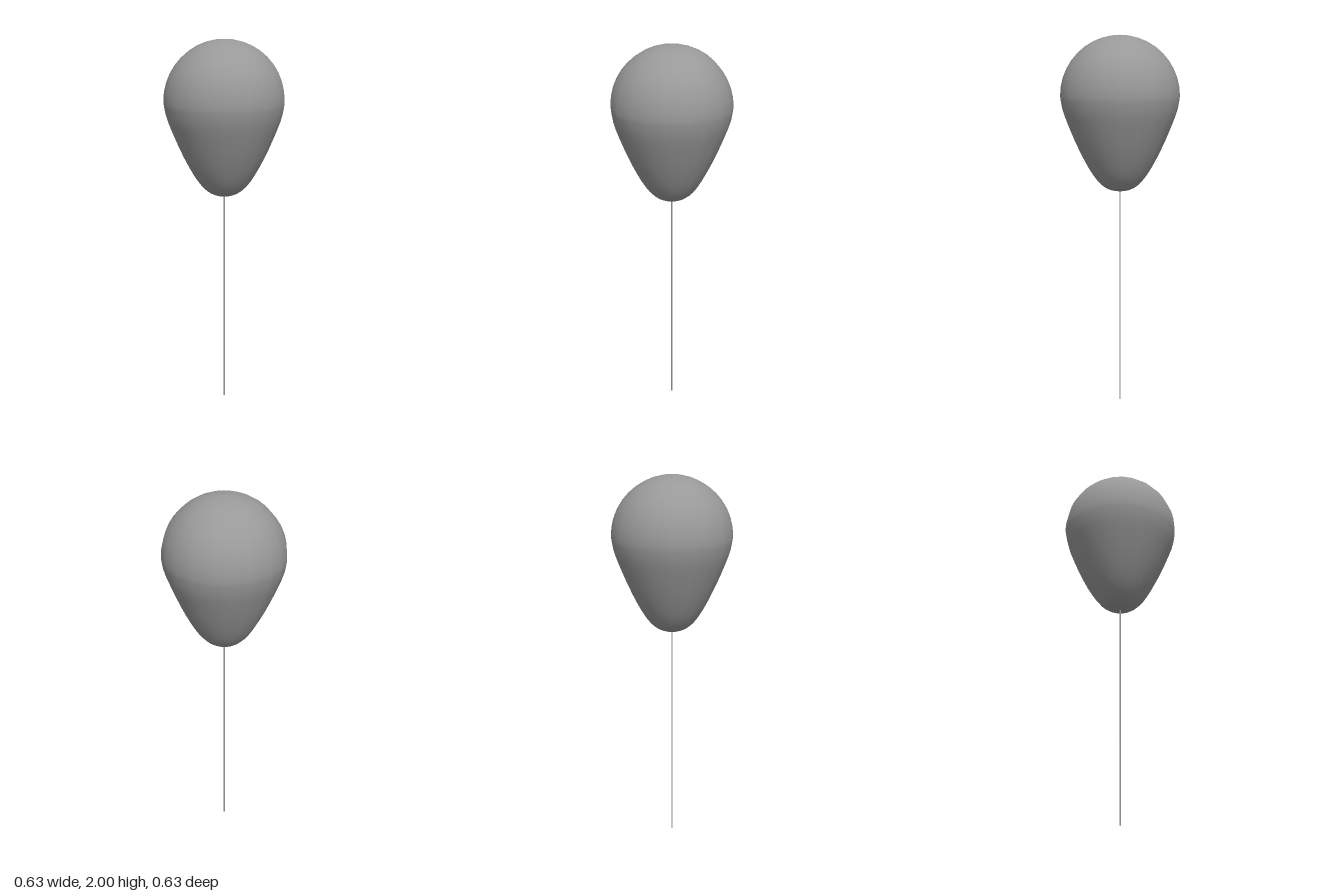
import * as THREE from 'three';

export function createModel() {
  const group = new THREE.Group();
  const grey = new THREE.MeshStandardMaterial({ color: 0x999999 });
  grey.name = 'grey';

  // Balloon: tapered lower half, then a round dome of radius R
  const R = 0.315, midY = 1.685;
  const lower = [
    [0, 1.18], [0.06, 1.192], [0.11, 1.226], [0.16, 1.293],
    [0.217, 1.4], [0.267, 1.515], [0.302, 1.61], [R, midY],
  ].map(([x, y]) => new THREE.Vector2(x, y));
  const profile = new THREE.SplineCurve(lower).getPoints(16);
  profile[0].x = 0;
  for (let i = 1; i <= 10; i++) {
    const a = (i / 10) * Math.PI / 2;
    profile.push(new THREE.Vector2(i === 10 ? 0 : R * Math.cos(a), midY + R * Math.sin(a)));
  }
  const balloon = new THREE.Mesh(new THREE.LatheGeometry(profile, 20), grey);
  balloon.name = 'balloon';
  group.add(balloon);

  // Straight thin string hanging to the ground
  const string = new THREE.Mesh(new THREE.CylinderGeometry(0.004, 0.004, 1.19, 8), grey);
  string.name = 'string';
  string.position.y = 0.595;
  group.add(string);

  return group;
}
